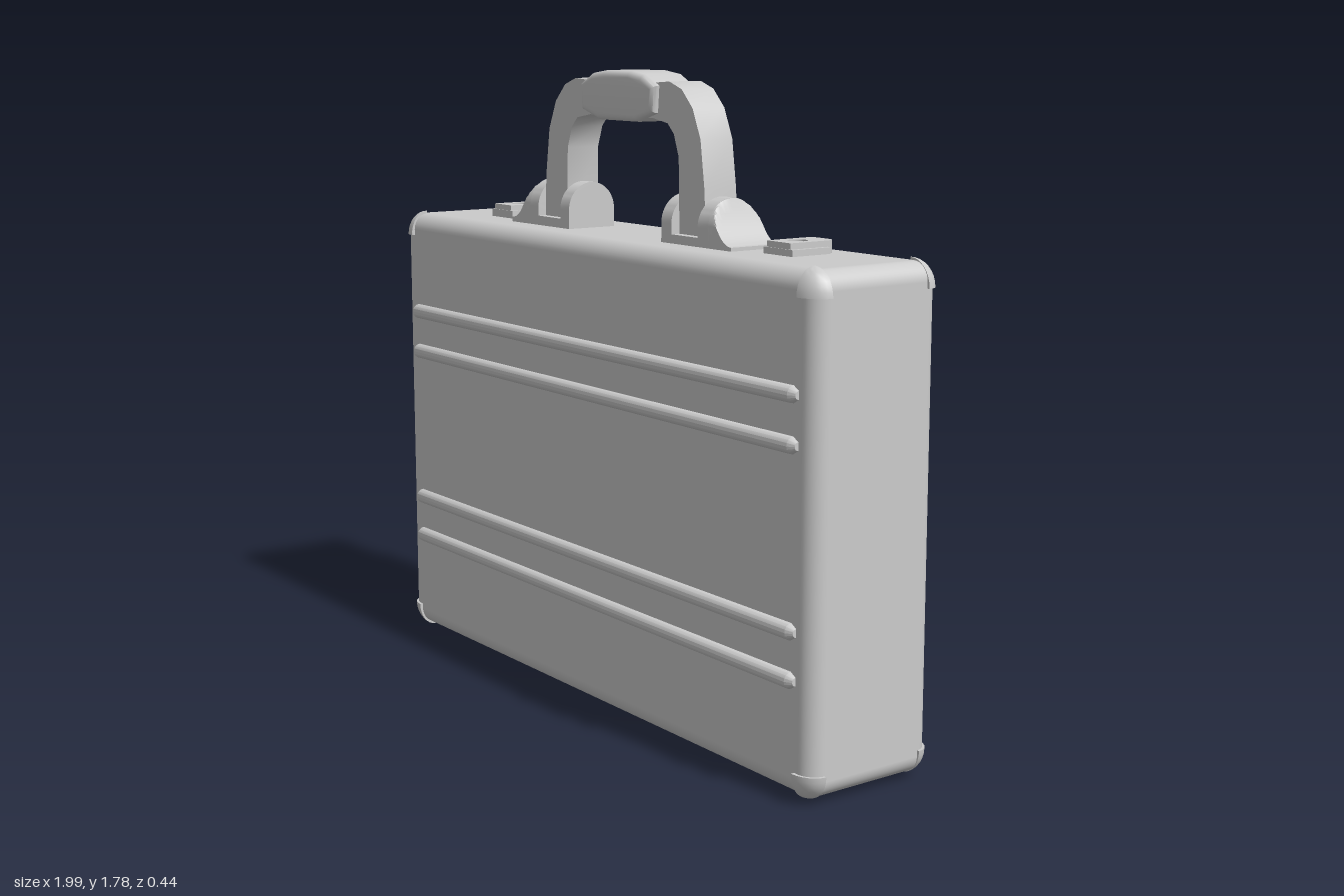
import * as THREE from 'three';
import { toCreasedNormals } from 'three/addons/utils/BufferGeometryUtils.js';
import { RoundedBoxGeometry } from 'three/addons/geometries/RoundedBoxGeometry.js';
import { ParametricGeometry } from 'three/addons/geometries/ParametricGeometry.js';

const grey = new THREE.MeshStandardMaterial({ color: 0xcccccc });
const greyDouble = new THREE.MeshStandardMaterial({ color: 0xcccccc, side: THREE.DoubleSide });

const MID_Y = 0.674, TOP = 1.332;

function add(parent, name, geometry, x = 0, y = 0, z = 0, material = grey) {
  const mesh = new THREE.Mesh(geometry, material);
  mesh.name = name;
  mesh.position.set(x, y, z);
  parent.add(mesh);
  return mesh;
}

// Extrusion centred on z, smooth along curves but sharp at edges
function slab(shape, depth, bevel = 0, crease = 0.6) {
  const geo = new THREE.ExtrudeGeometry(shape, {
    depth: depth - 2 * bevel, curveSegments: 12, bevelEnabled: bevel > 0,
    bevelSize: bevel, bevelThickness: bevel, bevelOffset: -bevel, bevelSegments: 4,
  });
  geo.translate(0, 0, -depth / 2 + bevel);
  return toCreasedNormals(geo, crease);
}

// Outline mirrored across x = 0 from its left half
function mirroredShape(half) {
  const right = half.map(([x, y]) => [-x, y]).reverse();
  return new THREE.Shape([...half, ...right].map(([x, y]) => new THREE.Vector2(x, y)));
}

// Bumper: ellipsoid octant, flattened on its three inner sides
function cornerGeometry(sx, sy, sz) {
  const geo = new THREE.SphereGeometry(1, 24, 16);
  const p = geo.attributes.position;
  const outer = (v, s) => (v * s > 0 ? v : 0);
  for (let i = 0; i < p.count; i++) {
    p.setXYZ(i, outer(p.getX(i), sx) * 0.07, outer(p.getY(i), sy) * 0.073, outer(p.getZ(i), sz) * 0.055);
  }
  return toCreasedNormals(geo, 0.7);
}

// Handle bracket, ramp pointing to -x
function createBracket() {
  const g = new THREE.Group();
  g.name = 'handleBracket';
  const R = 0.078, S = 0.052;

  // Round-topped cheeks either side of the leg
  const arch = new THREE.Shape();
  arch.moveTo(R, -0.01);
  arch.lineTo(R, S);
  arch.absarc(0, S, R, 0, Math.PI, false);
  arch.lineTo(-R, -0.01);
  for (const [x, w] of [[-0.405, 0.045], [-0.245, 0.045]]) {
    const cheek = add(g, 'bracketCheek', slab(arch, w), x);
    cheek.rotation.y = Math.PI / 2;
  }

  // Concave ramp, its arched section cut down to a falling height
  const ramp = new ParametricGeometry((u, v, out) => {
    const a = Math.PI * v;
    const height = 0.012 + 0.118 * Math.pow(1 - u, 2.2);
    const y = v === 0 || v === 1 ? -0.01 : Math.min(S + R * Math.sin(a), height);
    out.set(-0.427 - 0.098 * u, y, R * Math.cos(a));
  }, 12, 32);
  add(g, 'bracketRamp', toCreasedNormals(ramp, 0.6), 0, 0, 0, greyDouble);
  add(g, 'bracketRampEnd', new THREE.BoxGeometry(0.01, 0.022, 2 * R), -0.52, 0.001);

  // Base between the cheeks
  add(g, 'bracketBase', new THREE.BoxGeometry(0.16, 0.035, 2 * R), -0.325, 0.008);
  return g;
}

// Latch: base plate with a round-ended hasp and a button in a recess
function createLatch() {
  const g = new THREE.Group();
  g.name = 'latch';
  add(g, 'latchBase', new THREE.BoxGeometry(0.115, 0.03, 0.125), 0, 0.005, -0.018);
  const hasp = new THREE.Shape();
  hasp.moveTo(-0.046, -0.042);
  hasp.lineTo(0.046, -0.042);
  hasp.lineTo(0.046, 0.08);
  hasp.quadraticCurveTo(0.044, 0.108, 0.02, 0.108);
  hasp.lineTo(-0.02, 0.108);
  hasp.quadraticCurveTo(-0.044, 0.108, -0.046, 0.08);
  const hole = new THREE.Path();
  hole.absarc(0, 0.02, 0.026, 0, Math.PI * 2, true);
  hasp.holes.push(hole);
  const plate = add(g, 'latchHasp', slab(hasp, 0.036), 0, 0.018);
  plate.rotation.x = -Math.PI / 2;
  add(g, 'latchButton', new THREE.CylinderGeometry(0.016, 0.016, 0.03, 16), 0, 0.018, -0.02);
  return g;
}

export function createModel() {
  const model = new THREE.Group();
  model.name = 'briefcase';

  // Case, leaning very slightly; built around its own centre
  const box = new THREE.Group();
  box.name = 'case';
  box.position.y = MID_Y;
  box.rotation.z = 0.004;
  model.add(box);
  add(box, 'shell', new RoundedBoxGeometry(1.976, 1.316, 0.4, 6, 0.05));

  // Corner bumpers
  for (const sx of [-1, 1]) for (const sy of [-1, 1]) for (const sz of [-1, 1]) {
    add(box, 'cornerBumper', cornerGeometry(sx, sy, sz), sx * 0.925, sy * 0.592, sz * 0.155);
  }

  // Raised ribs on both large faces
  const ribProfile = [[0, -0.927], [0.011, -0.927], [0.022, -0.908], [0.022, 0.908], [0.011, 0.927], [0, 0.927]];
  const ribGeo = toCreasedNormals(
    new THREE.LatheGeometry(ribProfile.map(([r, y]) => new THREE.Vector2(r, y)), 16), 0.6);
  for (const y of [1.03, 0.905, 0.44, 0.316]) for (const z of [-0.2, 0.2]) {
    add(box, 'rib', ribGeo, 0, y - MID_Y, z).rotation.z = Math.PI / 2;
  }

  // Latches
  for (const x of [-0.662, 0.652]) {
    const latch = createLatch();
    latch.position.set(x, TOP, 0);
    model.add(latch);
  }

  // Carrying handle
  const handle = new THREE.Group();
  handle.name = 'handle';
  handle.position.set(-0.005, 0, 0.012);
  model.add(handle);

  const outer = [[-0.385, 1.35], [-0.378, 1.48], [-0.36, 1.61], [-0.325, 1.69], [-0.277, 1.738], [-0.222, 1.757], [-0.15, 1.752]];
  const inner = [[-0.15, 1.658], [-0.215, 1.647], [-0.243, 1.62], [-0.265, 1.56], [-0.27, 1.35]];
  const arm = [...outer, ...outer.map(([x, y]) => [-x, y]).reverse(),
    ...inner.map(([x, y]) => [-x, y]).reverse(), ...inner];
  const armShape = new THREE.Shape(arm.map(([x, y]) => new THREE.Vector2(x, y)));
  add(handle, 'handleArch', slab(armShape, 0.105));

  // Padded grip, thickest in the middle
  const grip = mirroredShape([[0, 1.638], [-0.09, 1.646], [-0.172, 1.672], [-0.178, 1.745], [-0.12, 1.774], [-0.06, 1.782], [0, 1.784]]
    .slice(1, -1));
  add(handle, 'grip', slab(grip, 0.145, 0.018, 0.7));

  // Brackets, one turned to face the other way
  for (const turn of [0, Math.PI]) {
    const bracket = createBracket();
    bracket.position.y = TOP;
    bracket.rotation.y = turn;
    handle.add(bracket);
  }
  return model;
}
